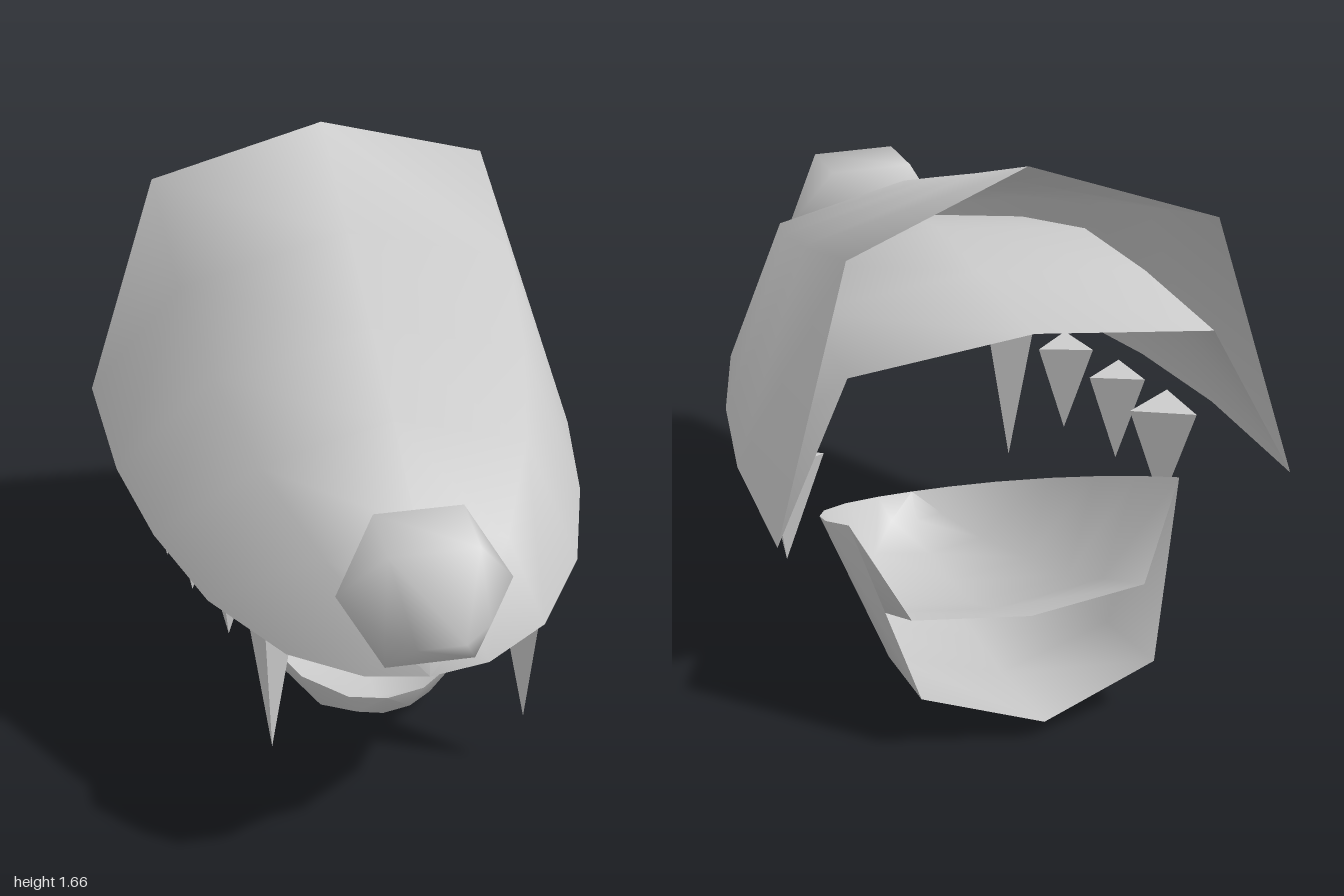
import * as THREE from 'three';
import { mergeVertices } from 'three/addons/utils/BufferGeometryUtils.js';
import { ConvexGeometry } from 'three/addons/geometries/ConvexGeometry.js';

const FRONT = 0.855; // z of the jaw tip

// Jaw sections from back to front: half width, rim z, ridge height, ridge z
const SECTIONS = [
  [0.755, -0.94, 0.96, -0.8],
  [0.735, -0.42, 0.79, -0.36],
  [0.67, -0.02, 0.655, 0],
  [0.56, 0.36, 0.53, 0.33],
  [0.38, 0.67, 0.38, 0.65],
  [0.18, 0.82, 0.18, 0.83],
  [0, FRONT, 0, FRONT],
];

function material(flatShading = false) {
  return new THREE.MeshStandardMaterial({ color: 0xcccccc, side: THREE.DoubleSide, flatShading });
}

// Joins five-point sections into one smooth open surface
function loft(sections) {
  const positions = sections.flat(2);
  const index = [];
  for (let i = 0; i < sections.length - 1; i++) {
    for (let j = 0; j < 4; j++) {
      const a = i * 5 + j;
      const b = a + 5;
      index.push(a, a + 1, b);
      if (i < sections.length - 2) index.push(a + 1, b + 1, b);
    }
  }
  const geometry = new THREE.BufferGeometry();
  geometry.setAttribute('position', new THREE.Float32BufferAttribute(positions, 3));
  geometry.setIndex(index);
  geometry.computeVertexNormals();
  return geometry;
}

// Outer shell plus a shallower lining, both starting at the same rim
function makeJaw(name, backRidgeZ) {
  const outer = [];
  const inner = [];
  SECTIONS.forEach(([w, rimZ, h, ridge], i) => {
    const z0 = rimZ - FRONT;
    const z2 = (i === 0 ? backRidgeZ : ridge) - FRONT;
    const z1 = (z0 + z2) / 2;
    const x = w * 0.705;
    const arch = (side, mid, midZ) => [
      [w, 0, z0], [x, side, z1], [0, mid, midZ], [-x, side, z1], [-w, 0, z0],
    ];
    outer.push(arch(h * 0.81, h, z2));
    inner.push(arch(Math.min(0.44, h * 0.68), Math.min(0.5, h * 0.78), z1));
  });
  const jaw = new THREE.Group();
  jaw.name = name;
  const shell = new THREE.Mesh(loft(outer), material());
  shell.name = name + 'Shell';
  const lining = new THREE.Mesh(loft(inner), material());
  lining.name = name + 'Lining';
  jaw.add(shell, lining);
  return jaw;
}

export function createModel() {
  const model = new THREE.Group();
  model.name = 'animalSkull';

  const upper = makeJaw('upperJaw', -0.8);
  upper.position.set(0, 0.7, FRONT);
  model.add(upper);

  // Lower jaw: smaller, upside down and swung open
  const lower = makeJaw('lowerJaw', -0.94);
  lower.position.set(0, 0.19, 0.26);
  lower.rotation.x = 0.415;
  lower.scale.set(0.66, -0.66, 0.61);
  model.add(lower);

  // Faceted, smooth-shaded nose
  const nosePoints = [
    [0.07, 0.9, 1], [0.15, 0.92, 0.945], [0.13, 1.143, 0.89], [0.13, 1.15, 0.68],
    [0.09, 1.07, 0.615], [0.255, 0.95, 0.77], [0.13, 0.745, 0.85],
    [0.13, 0.76, 0.72], [0.1, 0.9, 0.62],
  ].flatMap(([x, y, z]) => [new THREE.Vector3(x, y, z), new THREE.Vector3(-x, y, z)]);
  let noseGeometry = new ConvexGeometry(nosePoints);
  noseGeometry.deleteAttribute('normal');
  noseGeometry = mergeVertices(noseGeometry);
  noseGeometry.computeVertexNormals();
  const nose = new THREE.Mesh(noseGeometry, material());
  nose.name = 'nose';
  model.add(nose);

  // Three-sided teeth along both rims: x, z, radius, length, yaw in degrees
  const teeth = [
    [0.39, 0.43, 0.093, 0.51, 77],
    [0.47, 0.13, 0.098, 0.29, 79],
    [0.545, -0.13, 0.098, 0.29, 83],
    [0.59, -0.4, 0.115, 0.33, 86],
  ];
  for (const side of [1, -1]) {
    teeth.forEach(([x, z, radius, length, yaw], i) => {
      const geometry = new THREE.ConeGeometry(radius, length, 3);
      geometry.rotateX(Math.PI);
      geometry.rotateY(side * THREE.MathUtils.degToRad(yaw));
      const tooth = new THREE.Mesh(geometry, material(true));
      tooth.name = (side > 0 ? 'left' : 'right') + (i === 0 ? 'Fang' : 'Tooth' + i);
      tooth.position.set(side * x, 0.7 - length / 2, z);
      model.add(tooth);
    });
  }
  return model;
}
